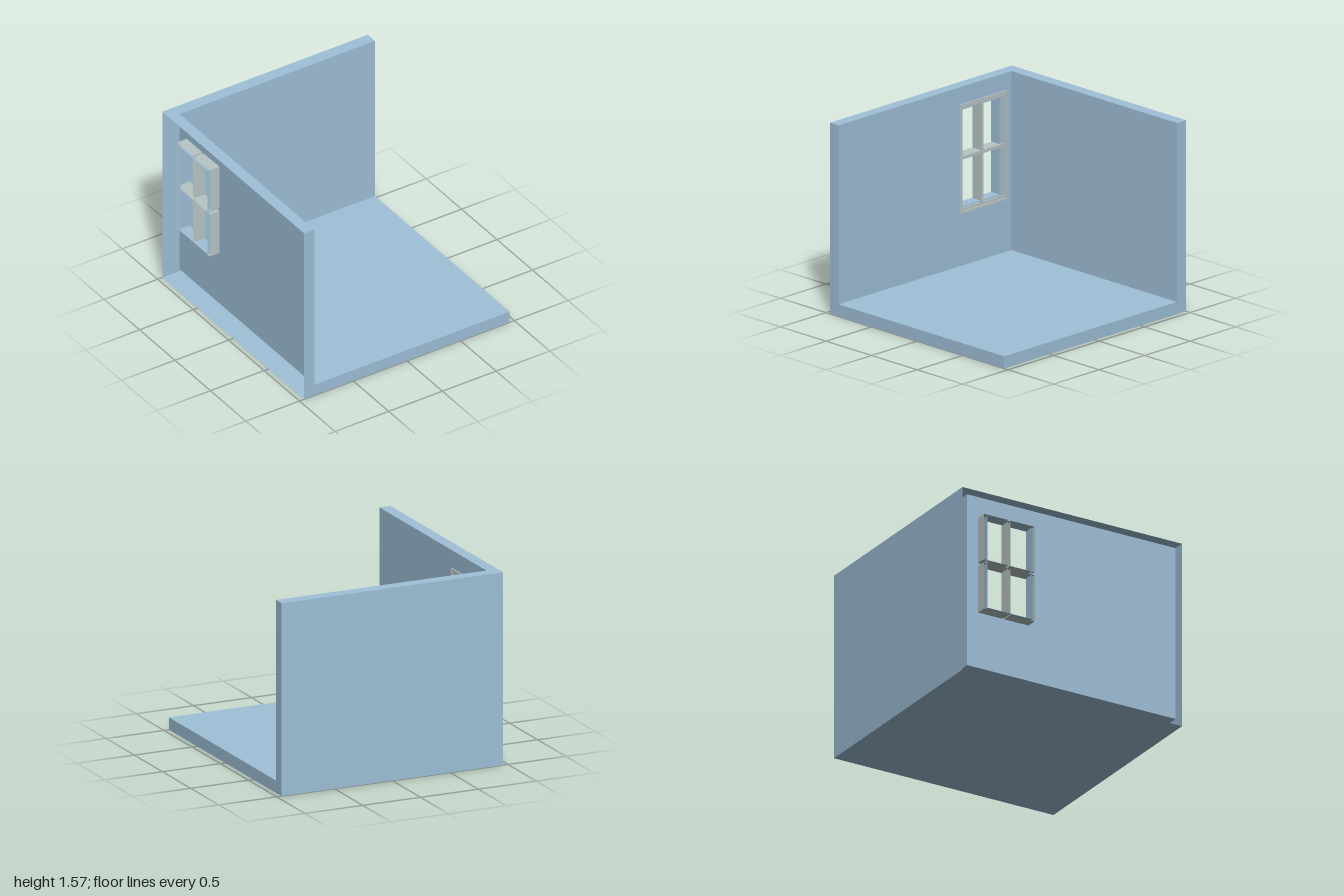
import * as THREE from 'three';

const wallMat = new THREE.MeshStandardMaterial({ color: 0x9fc0d8, side: THREE.DoubleSide, flatShading: true });
const frameMat = new THREE.MeshStandardMaterial({ color: 0xb9c6c6, side: THREE.DoubleSide, flatShading: true });

// Room extents: outer, and inner faces of the walls and floor
const X = 0.957, Z = 1, H = 1.565;
const IX = -0.862, IY = 0.1, IZ = -0.9;

// Corners of a rectangle
const rect = (a0, b0, a1, b1) => [[a0, b0], [a1, b0], [a1, b1], [a0, b1]];

// Axis order that makes a flat sheet face +x, +y or +z
const PLANES = {
  x: (a, b, c) => [c, a, b], // a = y, b = z
  y: (a, b, c) => [b, c, a], // a = z, b = x
  z: (a, b, c) => [a, b, c], // a = x, b = y
};

// Flat sheet across one axis at distance c, with optional holes
function sheet(name, axis, c, outline, mat, { holes = [], flip = false } = {}) {
  const toVec = (p) => new THREE.Vector2(...p);
  const shape = new THREE.Shape(outline.map(toVec));
  shape.holes = holes.map((h) => new THREE.Path(h.map(toVec)));
  const geo = new THREE.ShapeGeometry(shape);
  const pos = geo.attributes.position;
  for (let i = 0; i < pos.count; i++) {
    pos.setXYZ(i, ...PLANES[axis](pos.getX(i), pos.getY(i), c));
  }
  if (flip) {
    const idx = geo.index.array;
    for (let i = 0; i < idx.length; i += 3) [idx[i], idx[i + 1]] = [idx[i + 1], idx[i]];
  }
  geo.computeVertexNormals();
  const mesh = new THREE.Mesh(geo, mat);
  mesh.name = name;
  return mesh;
}

// Open rectangular sleeve running along x
function sleeve(name, x0, x1, [y0, z0, y1, z1], mat) {
  const g = new THREE.Group();
  g.name = name;
  g.add(
    sheet(name + 'Sill', 'y', y0, rect(z0, x0, z1, x1), mat),
    sheet(name + 'Head', 'y', y1, rect(z0, x0, z1, x1), mat, { flip: true }),
    sheet(name + 'BackSide', 'z', z0, rect(x0, y0, x1, y1), mat),
    sheet(name + 'FrontSide', 'z', z1, rect(x0, y0, x1, y1), mat, { flip: true }),
  );
  return g;
}

// Floor and two walls as a thin shell, open on its outer -x side
function buildRoom(opening) {
  const room = new THREE.Group();
  room.name = 'room';
  room.add(
    sheet('underside', 'y', 0, rect(-Z, -X, Z, X), wallMat, { flip: true }),
    sheet('floor', 'y', IY, rect(IZ, IX, Z, X), wallMat),
    sheet('backWallOuter', 'z', -Z, rect(-X, 0, X, H), wallMat, { flip: true }),
    sheet('backWallInner', 'z', IZ, rect(IX, IY, X, H), wallMat),
    sheet('sideWallInner', 'x', IX, rect(IY, IZ, H, Z), wallMat, { holes: [rect(...opening)] }),
    // L-shaped edges
    sheet('wallTop', 'y', H, [[-Z, -X], [Z, -X], [Z, IX], [IZ, IX], [IZ, X], [-Z, X]], wallMat),
    sheet('frontEdge', 'z', Z, [[-X, 0], [X, 0], [X, IY], [IX, IY], [IX, H], [-X, H]], wallMat),
    sheet('rightEdge', 'x', X, [[0, -Z], [H, -Z], [H, IZ], [IY, IZ], [IY, Z], [0, Z]], wallMat),
    // Lining of the window opening
    sleeve('windowReveal', -X, IX, opening, wallMat),
  );
  return room;
}

// Window: raised rim, grid of bars, and a deep sleeve behind each pane
function buildWindow() {
  const win = new THREE.Group();
  win.name = 'window';
  const xBack = -0.949, xGrid = -0.849, xRim = -0.838;
  const outer = [0.535, -0.83, 1.43, -0.31];
  const step = [0.55, -0.813, 1.415, -0.327];
  const panes = [];
  for (const [y0, y1] of [[0.575, 0.972], [0.998, 1.388]]) {
    for (const [z0, z1] of [[-0.8, -0.58], [-0.56, -0.34]]) panes.push([y0, z0, y1, z1]);
  }
  win.add(
    sheet('rimFace', 'x', xRim, rect(...outer), frameMat, { holes: [rect(...step)] }),
    sheet('windowGrid', 'x', xGrid, rect(...outer), frameMat, { holes: panes.map((p) => rect(...p)) }),
    sleeve('rimOuter', xGrid, xRim, outer, frameMat),
    sleeve('rimInner', xGrid, xRim, step, frameMat),
  );
  panes.forEach((p, i) => win.add(sleeve('paneSleeve' + (i + 1), xBack, xGrid, p, frameMat)));
  return win;
}

export function createModel() {
  const model = new THREE.Group();
  model.name = 'roomCorner';
  model.add(buildRoom([0.585, -0.77, 1.375, -0.365]), buildWindow());
  return model;
}
